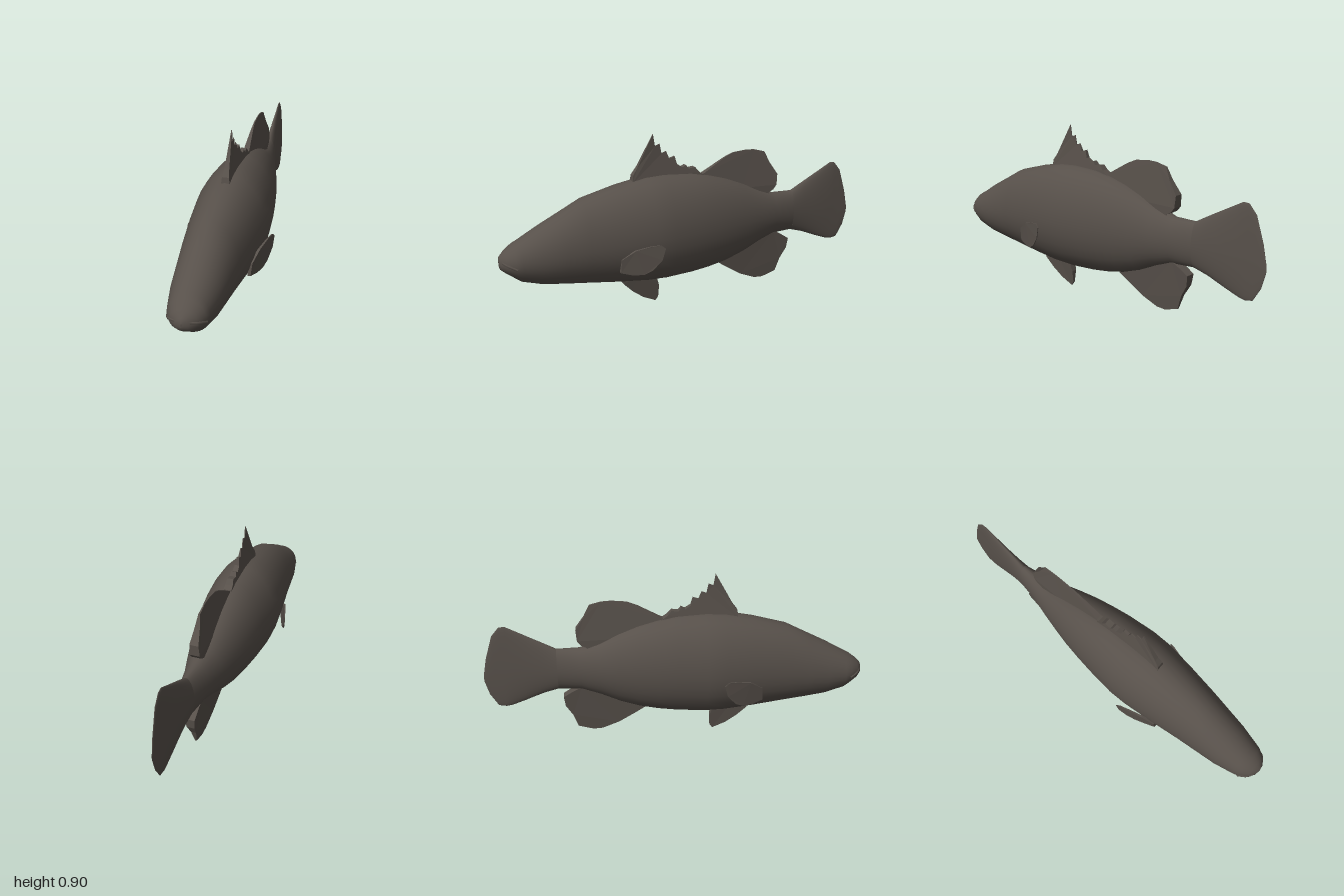
import * as THREE from 'three';

const scales = new THREE.MeshStandardMaterial({ color: 0x57504a, side: THREE.DoubleSide });
scales.name = 'dark brown scales';

// Smooth skin over rings; each station is [z, top, bottom, halfWidth, widest height]
function loft(name, stations, sides = 28) {
  const pos = [], idx = [];
  for (const [z, top, bottom, w, mid] of stations) {
    for (let j = 0; j < sides; j++) {
      const a = (j / sides) * Math.PI * 2, s = Math.sin(a);
      pos.push(w * Math.cos(a), mid + s * (s > 0 ? top - mid : mid - bottom), z);
    }
  }
  for (let i = 0; i < stations.length - 1; i++) {
    for (let j = 0; j < sides; j++) {
      const a = i * sides + j, b = i * sides + (j + 1) % sides;
      idx.push(a, a + sides, b, b, a + sides, b + sides);
    }
  }
  const g = new THREE.BufferGeometry();
  g.setAttribute('position', new THREE.Float32BufferAttribute(pos, 3));
  g.setIndex(idx);
  g.computeVertexNormals();
  const mesh = new THREE.Mesh(g, scales);
  mesh.name = name;
  return mesh;
}

// Thin plate from a side outline of [z, y]; place(side, y, z) gives x for each face
function fin(name, outline, place) {
  const shape = new THREE.Shape(outline.map(([z, y]) => new THREE.Vector2(z, y)));
  const g = new THREE.ExtrudeGeometry(shape, { depth: 2, bevelEnabled: false });
  g.translate(0, 0, -1);
  g.rotateY(-Math.PI / 2);
  const p = g.attributes.position;
  for (let i = 0; i < p.count; i++) p.setX(i, place(p.getX(i), p.getY(i), p.getZ(i)));
  g.computeVertexNormals();
  const mesh = new THREE.Mesh(g, scales);
  mesh.name = name;
  return mesh;
}

// Half thickness falling from the root height to the tip height
const taper = (root, tip, thick) => (side, y) =>
  side * (0.002 + thick * THREE.MathUtils.clamp((y - tip) / (root - tip), 0, 1));

export function createModel() {
  const fish = new THREE.Group();
  fish.name = 'fish';

  // Body from snout to tail root
  fish.add(loft('body', [
    [1.0, 0.345, 0.325, 0.002, 0.335],
    [0.995, 0.37, 0.305, 0.03, 0.335],
    [0.97, 0.395, 0.285, 0.065, 0.335],
    [0.93, 0.425, 0.255, 0.09, 0.335],
    [0.9, 0.44, 0.232, 0.098, 0.335],
    [0.8, 0.497, 0.203, 0.12, 0.345],
    [0.69, 0.553, 0.187, 0.133, 0.36],
    [0.58, 0.61, 0.173, 0.146, 0.375],
    [0.4, 0.657, 0.15, 0.17, 0.39],
    [0.25, 0.685, 0.135, 0.186, 0.4],
    [0.15, 0.69, 0.132, 0.187, 0.4],
    [0, 0.682, 0.14, 0.172, 0.405],
    [-0.1, 0.662, 0.152, 0.158, 0.405],
    [-0.2, 0.635, 0.172, 0.141, 0.405],
    [-0.3, 0.597, 0.205, 0.118, 0.402],
    [-0.4, 0.55, 0.25, 0.093, 0.4],
    [-0.5, 0.517, 0.284, 0.065, 0.4],
    [-0.62, 0.516, 0.288, 0.04, 0.4],
  ]));

  // Tail fin fanning out to a rounded edge
  fish.add(loft('tailFin', [
    [-0.62, 0.516, 0.288, 0.04, 0.4],
    [-0.7, 0.56, 0.265, 0.03, 0.4],
    [-0.8, 0.613, 0.225, 0.022, 0.4],
    [-0.87, 0.65, 0.2, 0.015, 0.4],
    [-0.9, 0.647, 0.195, 0.012, 0.4],
    [-0.94, 0.6, 0.202, 0.008, 0.39],
    [-0.98, 0.475, 0.27, 0.005, 0.37],
    [-1.0, 0.38, 0.345, 0.002, 0.36],
  ], 40));

  // Lip line around the snout
  const lipPath = new THREE.CatmullRomCurve3([
    [-0.088, 0.32, 0.925], [-0.06, 0.34, 0.969], [0, 0.35, 0.99], [0.06, 0.34, 0.969], [0.088, 0.32, 0.925],
  ].map((v) => new THREE.Vector3(...v)));
  const lip = new THREE.Mesh(new THREE.TubeGeometry(lipPath, 16, 0.008, 6), scales);
  lip.name = 'lip';
  fish.add(lip);

  // Spiny front dorsal fin
  fish.add(fin('spinyDorsalFin', [
    [0.32, 0.66], [0.315, 0.7], [0.29, 0.735], [0.2, 0.897], [0.19, 0.835], [0.165, 0.845],
    [0.155, 0.795], [0.13, 0.805], [0.115, 0.765], [0.085, 0.775], [0.075, 0.735], [0.045, 0.715],
    [0.025, 0.725], [0.01, 0.705], [-0.025, 0.71], [-0.045, 0.685], [-0.08, 0.66], [0, 0.64],
  ], taper(0.67, 0.8, 0.02)));

  // Soft rear dorsal fin
  fish.add(fin('rearDorsalFin', [
    [-0.05, 0.66], [-0.08, 0.673], [-0.2, 0.742], [-0.25, 0.763], [-0.33, 0.771], [-0.38, 0.768],
    [-0.44, 0.752], [-0.47, 0.69], [-0.515, 0.625], [-0.51, 0.565], [-0.49, 0.54], [-0.46, 0.525],
    [-0.48, 0.5], [-0.3, 0.57], [-0.15, 0.62],
  ], taper(0.6, 0.77, 0.024)));

  // Anal fin
  fish.add(fin('analFin', [
    [-0.14, 0.18], [-0.17, 0.16], [-0.23, 0.12], [-0.31, 0.07], [-0.4, 0.033], [-0.45, 0.03],
    [-0.53, 0.055], [-0.555, 0.13], [-0.59, 0.19], [-0.597, 0.245], [-0.55, 0.275], [-0.5, 0.3],
    [-0.38, 0.28], [-0.25, 0.22],
  ], taper(0.24, 0.03, 0.024)));

  // Pelvic fin under the belly
  fish.add(fin('pelvicFin', [
    [0.4, 0.165], [0.38, 0.13], [0.33, 0.08], [0.27, 0.035], [0.2, 0.002], [0.185, 0.025],
    [0.183, 0.09], [0.2, 0.15], [0.3, 0.17],
  ], taper(0.14, 0, 0.02)));

  // Pectoral fins, hinged at the front and flaring outwards
  for (const s of [1, -1]) {
    fish.add(fin(s > 0 ? 'leftPectoralFin' : 'rightPectoralFin', [
      [0.44, 0.25], [0.435, 0.32], [0.37, 0.365], [0.3, 0.383], [0.25, 0.388], [0.228, 0.37],
      [0.245, 0.31], [0.29, 0.258], [0.33, 0.237], [0.38, 0.235],
    ], (side, y, z) => {
      const t = (0.44 - z) / 0.21;
      return s * (0.148 + 0.075 * t + 0.1 * (y - 0.25) * (1 - t)) + side * (0.002 + 0.006 * (1 - t));
    }));
  }
  return fish;
}
